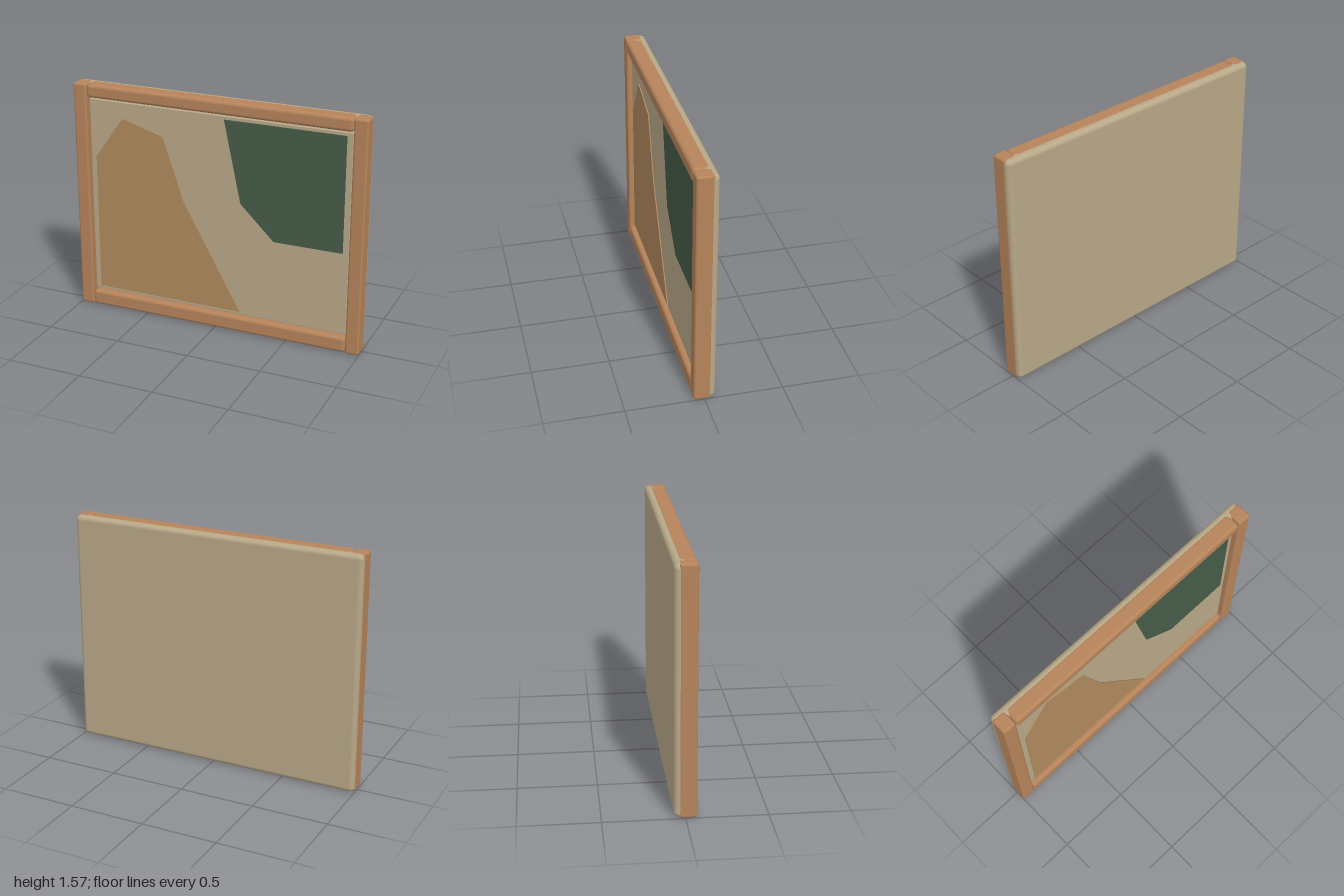
import * as THREE from 'three';
import { RoundedBoxGeometry } from 'three/addons/geometries/RoundedBoxGeometry.js';

const material = (name, color) => {
  const m = new THREE.MeshStandardMaterial({ color });
  m.name = name;
  return m;
};

export function createModel() {
  const group = new THREE.Group();
  const wood = material('frame wood', 0xb5835a);
  const tan = material('tan board', 0xb8a888);
  const brown = material('brown patch', 0xb08a5e);
  const green = material('green patch', 0x465c48);

  // Rounded block given by its extents on each axis
  const block = (name, mat, [x0, x1], [y0, y1], [z0, z1], radius) => {
    const geo = new RoundedBoxGeometry(x1 - x0, y1 - y0, z1 - z0, 4, radius);
    const mesh = new THREE.Mesh(geo, mat);
    mesh.position.set((x0 + x1) / 2, (y0 + y1) / 2, (z0 + z1) / 2);
    mesh.name = name;
    group.add(mesh);
  };

  // Thin flat patch lying on the panel
  const patch = (name, mat, points) => {
    const shape = new THREE.Shape(points.map(([x, y]) => new THREE.Vector2(x, y)));
    const geo = new THREE.ExtrudeGeometry(shape, { depth: 0.008, bevelEnabled: false });
    const mesh = new THREE.Mesh(geo, mat);
    mesh.position.z = 0.034;
    mesh.name = name;
    group.add(mesh);
  };

  // Backing board with rounded rear edges, and the raised inner panel
  block('backBoard', tan, [-0.998, 0.998], [0.002, 1.568], [-0.07, 0.01], 0.03);
  block('panel', tan, [-0.9, 0.9], [0.113, 1.466], [-0.02, 0.035], 0.004);

  // Frame: two stiles and two rails
  const depth = [-0.04, 0.07];
  block('rightStile', wood, [-1, -0.908], [0, 1.57], depth, 0.015);
  block('leftStile', wood, [0.908, 1], [0, 1.57], depth, 0.015);
  block('bottomRail', wood, [-0.905, 0.905], [0, 0.105], depth, 0.022);
  block('topRail', wood, [-0.905, 0.905], [1.48, 1.57], depth, 0.022);

  // Coloured patches
  patch('brownPatch', brown, [
    [-0.86, 0.135], [0.17, 0.135], [-0.23, 0.85], [-0.375, 1.275], [-0.66, 1.36], [-0.86, 1.075],
  ]);
  patch('greenPatch', green, [
    [0.4, 0.675], [0.86, 0.675], [0.86, 1.445], [0.055, 1.445], [0.17, 0.9],
  ]);

  return group;
}
